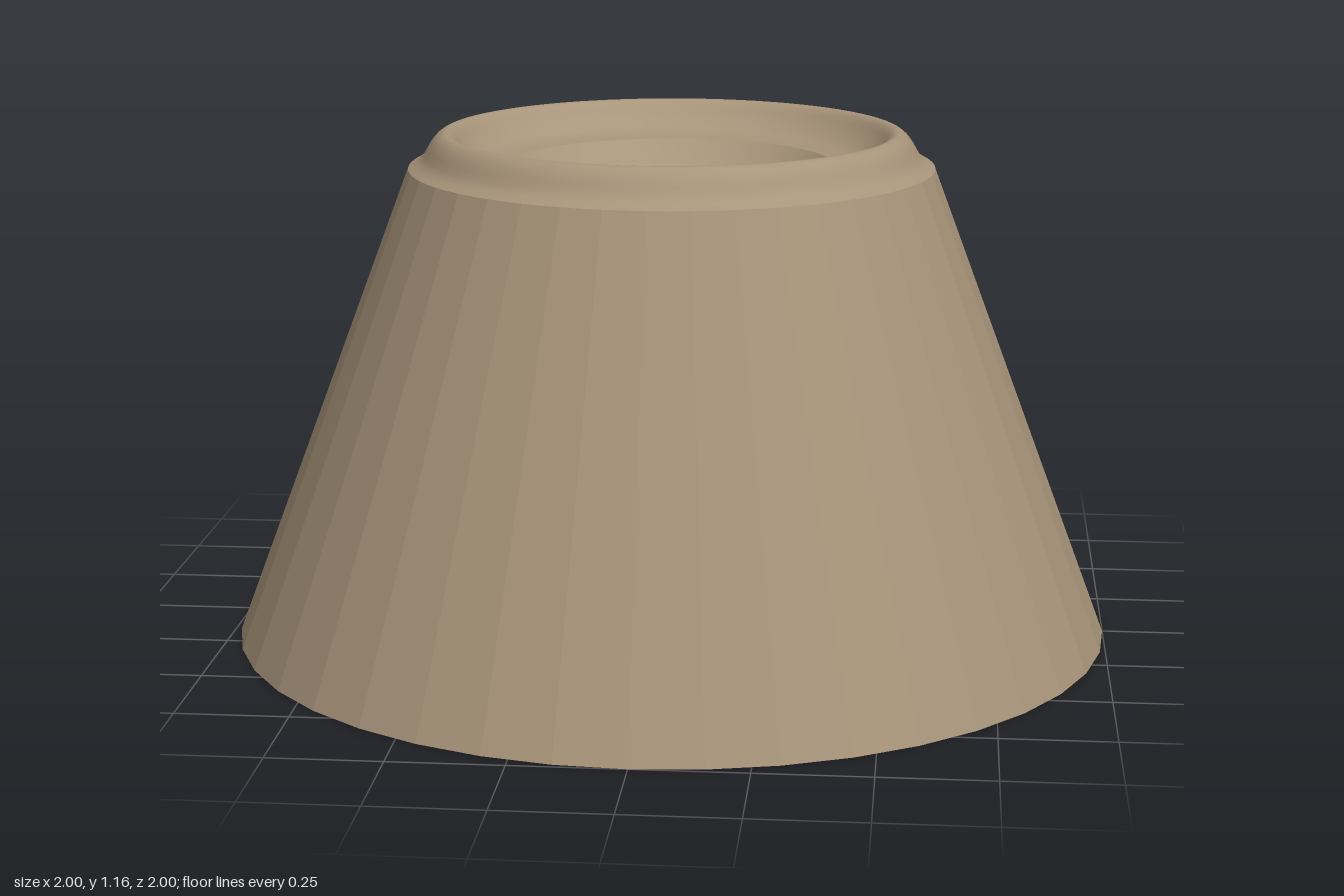
import * as THREE from 'three';

const SIDES = 40;
const COLOR = 0xa8947a;

const points = (list) => list.map(([r, y]) => new THREE.Vector2(r, y));

function addMesh(group, name, geometry, flatShading = false) {
  const material = new THREE.MeshStandardMaterial({ color: COLOR, flatShading });
  const mesh = new THREE.Mesh(geometry, material);
  mesh.name = name;
  group.add(mesh);
  return mesh;
}

export function createModel() {
  const model = new THREE.Group();
  model.name = 'craterCone';

  // Faceted slope, open at the top so the bowl can sink into it
  const slope = addMesh(model, 'slope', new THREE.CylinderGeometry(0.595, 1, 1.075, SIDES, 1, true), true);
  slope.position.y = 1.075 / 2;

  // Flat underside
  const base = addMesh(model, 'base', new THREE.CircleGeometry(1, SIDES));
  base.rotation.x = Math.PI / 2;

  // Raised smooth lip: concave outside, rounded crest, gentle inner slope
  const lip = new THREE.SplineCurve(points([
    [0.595, 1.075], [0.565, 1.095], [0.54, 1.135], [0.517, 1.154],
    [0.495, 1.15], [0.465, 1.118], [0.425, 1.09], [0.365, 1.08],
  ]));
  addMesh(model, 'craterLip', new THREE.LatheGeometry(lip.getPoints(28), 80));

  // Shallow spherical bowl inside the lip
  const radius = 0.365, depth = 0.16;
  const sphere = (radius * radius + depth * depth) / (2 * depth);
  const spread = Math.asin(radius / sphere);
  const bowl = [];
  for (let i = 0; i <= 14; i++) {
    const a = spread * (1 - i / 14);
    bowl.push([sphere * Math.sin(a), 1.08 - depth + sphere * (1 - Math.cos(a))]);
  }
  addMesh(model, 'craterBowl', new THREE.LatheGeometry(points(bowl), 80));

  return model;
}
